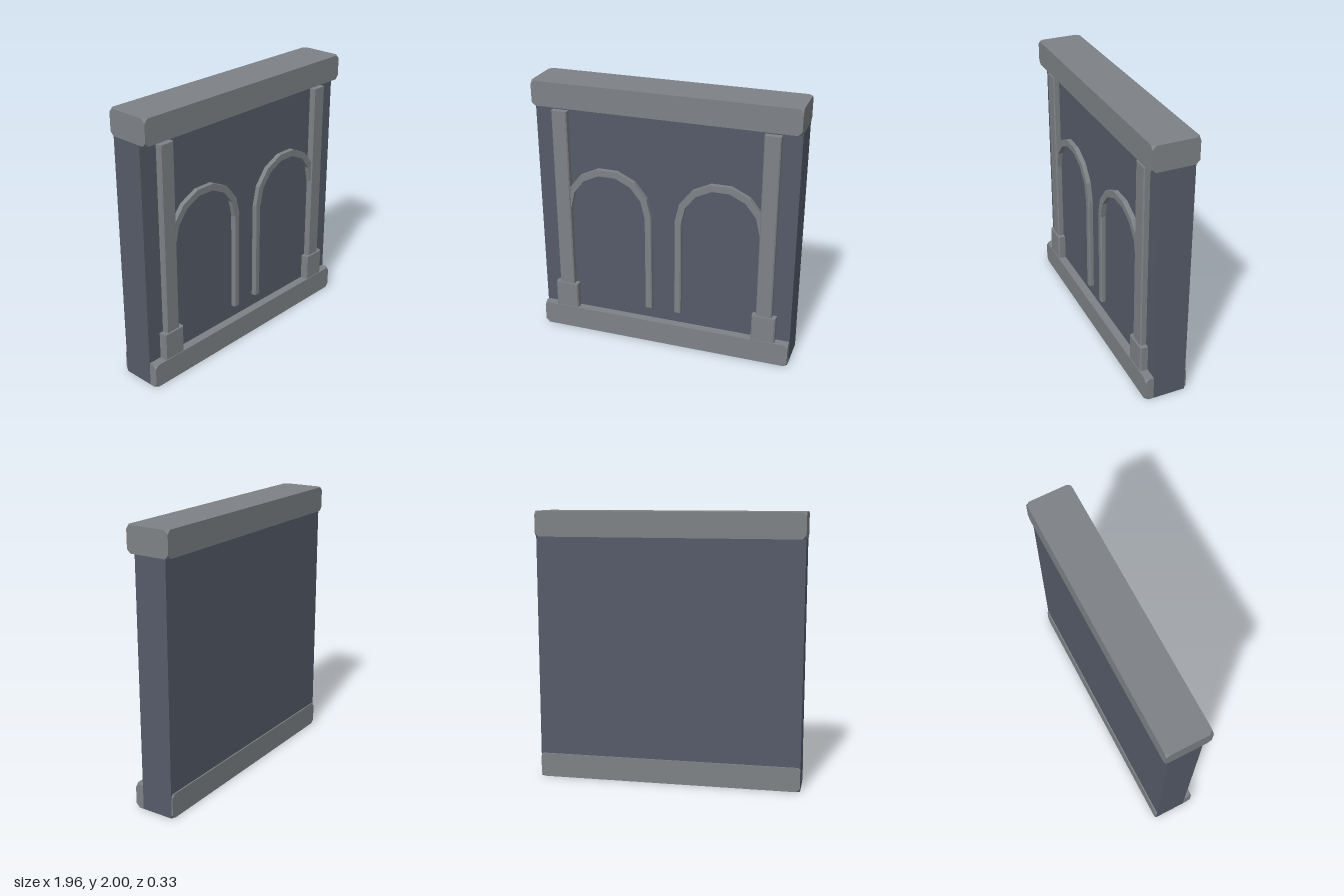
import * as THREE from 'three';
import { ConvexGeometry } from 'three/addons/geometries/ConvexGeometry.js';

const stone = new THREE.MeshStandardMaterial({ color: 0x7e8286, flatShading: true });
const slate = new THREE.MeshStandardMaterial({ color: 0x555b69, flatShading: true });

function add(parent, name, geometry, material = stone) {
  const mesh = new THREE.Mesh(geometry, material);
  mesh.name = name;
  parent.add(mesh);
  return mesh;
}

// Beam whose eight corners are clipped off
function beamGeometry(halfX, y0, y1, z0, z1, cut) {
  const points = [];
  for (const [x, sx] of [[-halfX, 1], [halfX, -1]])
    for (const [y, sy] of [[y0, 1], [y1, -1]])
      for (const [z, sz] of [[z0, 1], [z1, -1]])
        points.push(
          new THREE.Vector3(x + sx * cut, y, z),
          new THREE.Vector3(x, y + sy * cut, z),
          new THREE.Vector3(x, y, z + sz * cut));
  return new ConvexGeometry(points);
}

// Upright strip with its two front edges chamfered
function stripGeometry(x0, x1, y0, y1, z0, z1, c) {
  const plan = new THREE.Shape([
    [x0, -z0], [x0, -z1 + c], [x0 + c, -z1], [x1 - c, -z1], [x1, -z1 + c], [x1, -z0],
  ].map(([x, y]) => new THREE.Vector2(x, y)));
  return new THREE.ExtrudeGeometry(plan, { depth: y1 - y0, bevelEnabled: false })
    .rotateX(-Math.PI / 2).translate(0, y0, 0);
}

// Half-ring of seven straight segments
function archGeometry(cx, cy, outer, inner, z0, z1) {
  const arc = (r) => Array.from({ length: 8 }, (_, i) => {
    const a = i * Math.PI / 7;
    return new THREE.Vector2(cx + r * Math.cos(a), cy + r * Math.sin(a));
  });
  const shape = new THREE.Shape([...arc(outer), ...arc(inner).reverse()]);
  return new THREE.ExtrudeGeometry(shape, { depth: z1 - z0, bevelEnabled: false })
    .translate(0, 0, z0);
}

export function createModel() {
  const model = new THREE.Group();
  model.name = 'archedWallPanel';

  // Wall slab and the beams that cap it
  add(model, 'wall', new THREE.BoxGeometry(1.956, 1.959, 0.245), slate)
    .position.set(0, 0.981, -0.0175);
  add(model, 'topBeam', beamGeometry(0.98, 1.815, 2, -0.165, 0.165, 0.027));
  add(model, 'bottomBeam', beamGeometry(0.977, 0, 0.18, -0.15, 0.168, 0.027));

  // Pillar and arch on each side
  for (const [label, s] of [['left', 1], ['right', -1]]) {
    const side = new THREE.Group();
    side.name = label + 'Bay';
    model.add(side);
    const strip = (name, centre, width, y0, y1, z1, c) =>
      add(side, name, stripGeometry(s * centre - width / 2, s * centre + width / 2, y0, y1, 0.09, z1, c));
    strip('pillar', 0.782, 0.118, 0.17, 1.785, 0.15, 0.008);
    strip('pillarBase', 0.783, 0.18, 0.15, 0.382, 0.163, 0.01);
    strip('innerArchPost', 0.115, 0.052, 0.28, 1.035, 0.14, 0.007);
    strip('outerArchPost', 0.749, 0.05, 0.28, 1.035, 0.14, 0.007);
    add(side, 'arch', archGeometry(s * 0.43, 1.035, 0.34, 0.29, 0.09, 0.14));
  }
  return model;
}
